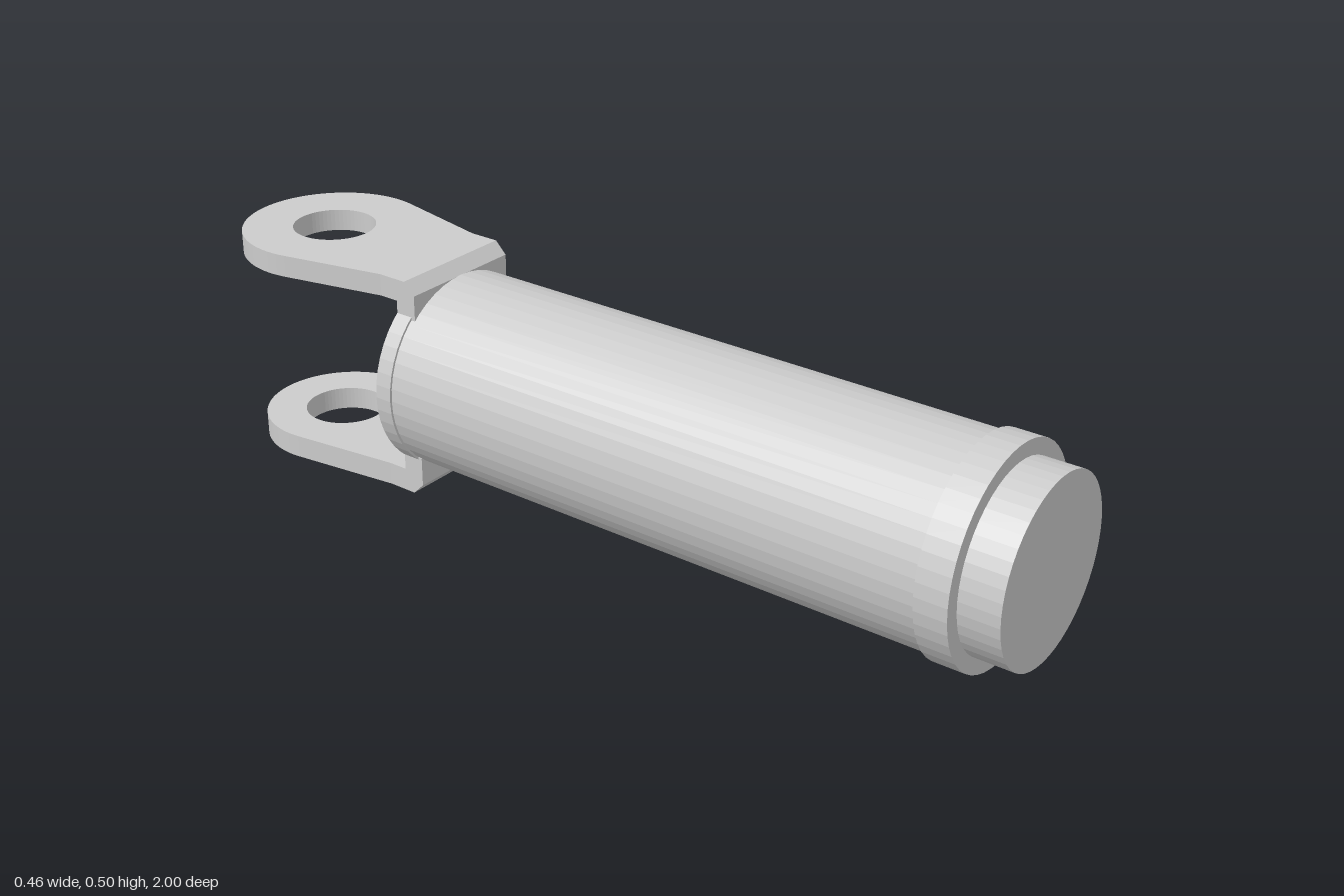
import * as THREE from 'three';

const material = new THREE.MeshStandardMaterial({ color: 0xcccccc, flatShading: true });
const HALF_WIDTH = 0.148; // half width of the fork necks
const EYE = 0.795; // distance of the fork eyes behind the centre
const HEIGHT = 0.503;

function addMesh(parent, name, geometry) {
  const mesh = new THREE.Mesh(geometry, material);
  mesh.name = name;
  parent.add(mesh);
  return mesh;
}

// Flat arm: straight neck, tangent taper, round eye with a hole
function armGeometry(radius, thickness) {
  const neckEnd = 0.515;
  const dy = neckEnd - EYE;
  const tangent = Math.atan2(dy, HALF_WIDTH) + Math.acos(radius / Math.hypot(HALF_WIDTH, dy));
  const shape = new THREE.Shape();
  shape.moveTo(-HALF_WIDTH, 0.47);
  shape.lineTo(HALF_WIDTH, 0.47);
  shape.lineTo(HALF_WIDTH, neckEnd);
  shape.absarc(0, EYE, radius, tangent, Math.PI - tangent, false);
  shape.lineTo(-HALF_WIDTH, neckEnd);
  shape.closePath();
  const hole = new THREE.Path();
  hole.absarc(0, EYE, 0.0925, 0, Math.PI * 2, true);
  shape.holes.push(hole);
  return new THREE.ExtrudeGeometry(shape, { depth: thickness, bevelEnabled: false, curveSegments: 32 })
    .rotateX(-Math.PI / 2);
}

// Chamfered foot joining an arm to the barrel, drawn as a (z, y) profile
function footGeometry(isTop) {
  const profile = [[-0.42, 0.41], [-0.42, 0.476], [-0.447, HEIGHT], [-0.47, HEIGHT], [-0.47, 0.41]];
  const shape = new THREE.Shape(
    profile.map(([z, y]) => new THREE.Vector2(z, isTop ? y : HEIGHT - y)));
  return new THREE.ExtrudeGeometry(shape, { depth: 2 * HALF_WIDTH, bevelEnabled: false })
    .translate(0, 0, -HALF_WIDTH)
    .rotateY(-Math.PI / 2);
}

export function createModel() {
  const model = new THREE.Group();
  model.name = 'cylinderWithFork';

  // Barrel with blind rear bore, rear rim, front collar and end cap
  const profile = [
    [0, -0.39], [0.093, -0.39], [0.093, -0.47], [0.225, -0.47], [0.225, -0.43],
    [0.22, -0.43], [0.22, 0.843], [0.23, 0.843], [0.23, 0.913],
    [0.196, 0.913], [0.196, 1], [0, 1],
  ].map(([r, z]) => new THREE.Vector2(r, z));
  const barrel = addMesh(model, 'barrel', new THREE.LatheGeometry(profile, 48).rotateX(Math.PI / 2));
  barrel.position.y = 0.257;

  // Fork: the upper eye is slightly larger than the lower one
  for (const isTop of [true, false]) {
    const side = new THREE.Group();
    side.name = isTop ? 'upperFork' : 'lowerFork';
    const thickness = isTop ? 0.049 : 0.052;
    const arm = addMesh(side, 'arm', armGeometry(isTop ? 0.205 : 0.183, thickness));
    arm.position.y = isTop ? HEIGHT - thickness : 0;
    addMesh(side, 'foot', footGeometry(isTop));
    model.add(side);
  }
  return model;
}
